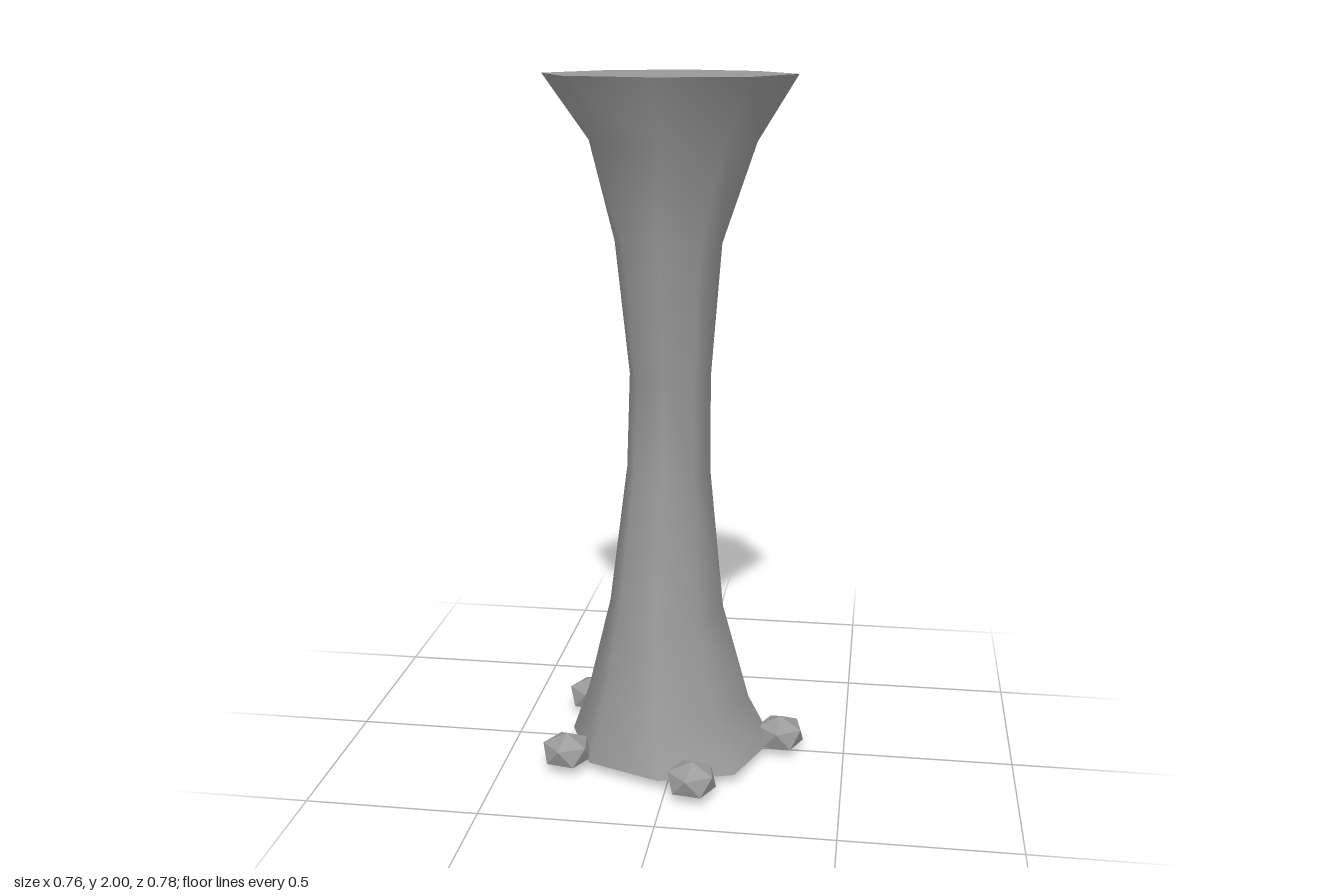
import * as THREE from 'three';

// Column rings from bottom to top: y, left x, right x, back z, front z
const rings = [
  [0.03, -0.33, 0.285, -0.355, 0.3],
  [0.17, -0.28, 0.21, -0.225, 0.255],
  [0.46, -0.21, 0.13, -0.15, 0.2],
  [0.88, -0.155, 0.09, -0.115, 0.13],
  [1.16, -0.145, 0.09, -0.11, 0.14],
  [1.54, -0.185, 0.12, -0.14, 0.155],
  [1.82, -0.255, 0.215, -0.21, 0.22],
  [2.0, -0.385, 0.325, -0.34, 0.315],
];
// Irregular octagon, as fractions of each ring's half extents
const octagon = [
  [-1, 0], [-0.62, -0.73], [0, -1], [0.63, -0.68],
  [1, 0], [0.7, 0.78], [0, 1], [-0.7, 0.73],
];

function ringPoints([, x0, x1, zBack, zFront]) {
  const cx = (x0 + x1) / 2, rx = (x1 - x0) / 2;
  return octagon.map(([u, v]) => [cx + u * rx, v < 0 ? -v * zBack : v * zFront]);
}

// Smooth skin, with creases on both sides of the back at the waist
function columnSkin() {
  const pos = [], index = [], cols = 10;
  for (const ring of rings) {
    const pts = ringPoints(ring);
    for (const [x, z] of [...pts, pts[1], pts[3]]) pos.push(x, ring[0], z);
  }
  const id = (row, col, face) => {
    const creased = row >= 2 && row <= 5;
    if (creased && face === 1 && col === 1) col = 8;
    if (creased && face === 2 && col === 3) col = 9;
    return row * cols + col;
  };
  for (let r = 0; r < rings.length - 1; r++) {
    for (let i = 0; i < 8; i++) {
      const j = (i + 1) % 8;
      const a = id(r, i, i), b = id(r, j, i), c = id(r + 1, j, i), d = id(r + 1, i, i);
      index.push(a, d, c, a, c, b);
    }
  }
  const geo = new THREE.BufferGeometry();
  geo.setAttribute('position', new THREE.Float32BufferAttribute(pos, 3));
  geo.setIndex(index);
  geo.computeVertexNormals();
  return geo;
}

// Flat cap facing up (side 1) or down (side -1)
function cap(ring, side) {
  const shape = new THREE.Shape(ringPoints(ring).map(([x, z]) => new THREE.Vector2(x, -side * z)));
  return new THREE.ShapeGeometry(shape).rotateX(-side * Math.PI / 2).translate(0, ring[0], 0);
}

export function createModel() {
  const group = new THREE.Group();
  const stone = new THREE.MeshStandardMaterial({ color: 0x999999 });
  stone.name = 'grey stone';

  const add = (name, geo) => {
    const mesh = new THREE.Mesh(geo, stone);
    mesh.name = name;
    group.add(mesh);
    return mesh;
  };

  add('column', columnSkin());
  add('columnTop', cap(rings[rings.length - 1], 1));
  add('columnBottom', cap(rings[0], -1));

  // Five squashed rocks around the foot, point upwards: x, z, turn
  const rockGeo = new THREE.IcosahedronGeometry(0.078, 0)
    .rotateZ(Math.atan(2 / (1 + Math.sqrt(5))))
    .scale(1, 0.71, 1);
  rockGeo.computeVertexNormals();
  const rocks = [
    [0.308, 0.0, 0.2], [0.085, -0.325, 1.4], [-0.308, -0.19, 2.7],
    [-0.308, 0.2, 3.9], [0.08, 0.322, 5.2],
  ];
  rocks.forEach(([x, z, turn], i) => {
    const rock = add('footRock' + (i + 1), rockGeo);
    rock.position.set(x, 0.056, z);
    rock.rotation.y = turn;
  });

  return group;
}
